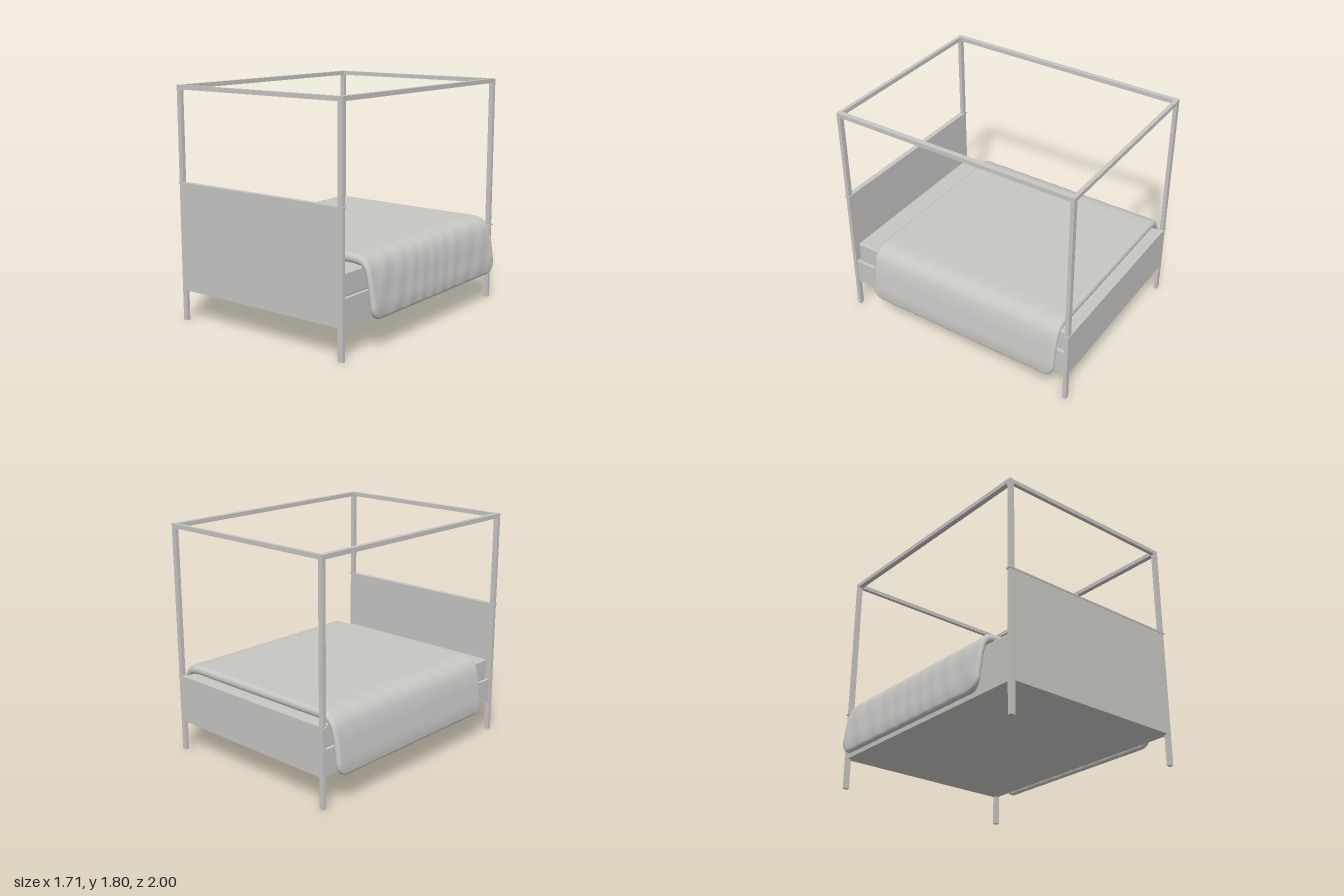
import * as THREE from 'three';
import { mergeVertices } from 'three/addons/utils/BufferGeometryUtils.js';
import { RoundedBoxGeometry } from 'three/addons/geometries/RoundedBoxGeometry.js';

const grey = new THREE.MeshStandardMaterial({ color: 0xc8c6c3 });
grey.name = 'warm grey';

// Box given by its lower and upper limits on each axis
function box(name, [x0, x1], [y0, y1], [z0, z1]) {
  const mesh = new THREE.Mesh(new THREE.BoxGeometry(x1 - x0, y1 - y0, z1 - z0), grey);
  mesh.position.set((x0 + x1) / 2, (y0 + y1) / 2, (z0 + z1) / 2);
  mesh.name = name;
  return mesh;
}

// Padded sheet following a draped centre line, closed by rounded edges
function duvetGeometry() {
  const half = [[0.825, 0.235], [0.828, 0.32], [0.816, 0.42], [0.798, 0.53],
    [0.772, 0.606], [0.735, 0.642], [0.67, 0.655], [0.4, 0.657]];
  const points = [
    ...half.map(([x, y]) => new THREE.Vector3(-x, y, 0)),
    new THREE.Vector3(0, 0.657, 0),
    ...half.slice().reverse().map(([x, y]) => new THREE.Vector3(x, y, 0)),
  ];
  const path = new THREE.CatmullRomCurve3(points);
  path.arcLengthDivisions = 1000;
  const length = path.getLength();
  const N = 110, M = 90, zMid = -0.09, zHalf = 0.83, corner = 0.1;
  const round = (d, r) => (d >= r ? 1 : Math.sqrt(Math.max(0, 1 - (1 - d / r) ** 2)));
  const ease = (k) => 0.5 - 0.5 * Math.cos(Math.PI * k);
  const positions = [], index = [];
  for (const side of [1, -1]) {
    const base = positions.length / 3;
    for (let i = 0; i <= N; i++) {
      const u = ease(i / N);
      const p = path.getPointAt(u), t = path.getTangentAt(u);
      const hem = Math.min(u, 1 - u) * length;
      const w = zHalf - corner * (1 - round(hem, corner));
      const drop = THREE.MathUtils.smoothstep(Math.abs(p.x), 0.5, 0.78);
      const thick = 0.035 - 0.011 * THREE.MathUtils.smoothstep(Math.abs(p.x), 0.7, 0.8);
      for (let j = 0; j <= M; j++) {
        const k = ease(j / M);
        const z = zMid + w * (2 * k - 1);
        const edge = Math.min(k, 1 - k) * 2 * w;
        const puff = round(hem, 0.03) * round(edge, 0.03);
        // soft slanted folds towards the sides
        const fold = 0.002 * drop * puff * Math.sin(38 * z + 14 * hem + 2 * Math.sin(5 * z));
        const h = side * thick * puff + fold;
        positions.push(p.x - t.y * h, p.y + t.x * h, z);
      }
    }
    for (let i = 0; i < N; i++) {
      for (let j = 0; j < M; j++) {
        const a = base + i * (M + 1) + j, b = a + 1, d = a + M + 1, c = d + 1;
        if (side > 0) index.push(a, b, c, a, c, d);
        else index.push(a, c, b, a, d, c);
      }
    }
  }
  const geometry = new THREE.BufferGeometry();
  geometry.setAttribute('position', new THREE.Float32BufferAttribute(positions, 3));
  geometry.setIndex(index);
  const merged = mergeVertices(geometry, 1e-5);
  merged.computeVertexNormals();
  return merged;
}

export function createModel() {
  const bed = new THREE.Group();
  bed.name = 'canopyBed';

  const xOut = 0.772, xIn = 0.733, zOut = 0.995, zIn = 0.966;
  const topLow = 1.77, topHigh = 1.803;

  // Four posts and the long canopy beams
  for (const s of [-1, 1]) {
    const xs = s > 0 ? [xIn, xOut] : [-xOut, -xIn];
    for (const f of [-1, 1]) {
      const zs = f > 0 ? [zIn, zOut] : [-zOut, -zIn];
      bed.add(box('post', xs, [0, topLow], zs));
    }
    bed.add(box('canopySideBeam', xs, [topLow, topHigh], [-zIn, zIn]));
  }

  // Canopy cross beams, end panels and their thin cap strips
  const ends = [['headboard', 1, 1.065], ['footboard', -1, 0.605]];
  for (const [name, f, top] of ends) {
    const zs = f > 0 ? [zIn, zOut] : [-zOut, -zIn];
    const capZ = f > 0 ? [0.96, 1] : [-1, -0.96];
    bed.add(box('canopyEndBeam', [-xOut, xOut], [topLow, topHigh], zs));
    bed.add(box(name, [-xIn, xIn], [0.24, top], zs));
    bed.add(box(name + 'Cap', [-0.78, 0.78], [top, top + 0.011], capZ));
  }

  // Bed base with its side rails
  bed.add(box('bedBase', [-0.762, 0.762], [0.24, 0.44], [-zIn, zIn]));

  // Mattress
  const mattress = new THREE.Mesh(new RoundedBoxGeometry(1.47, 0.175, 1.91, 4, 0.015), grey);
  mattress.position.set(0, 0.5225, 0);
  mattress.name = 'mattress';
  bed.add(mattress);

  // Duvet draped over both sides
  const duvet = new THREE.Mesh(duvetGeometry(), grey);
  duvet.name = 'duvet';
  bed.add(duvet);

  return bed;
}
